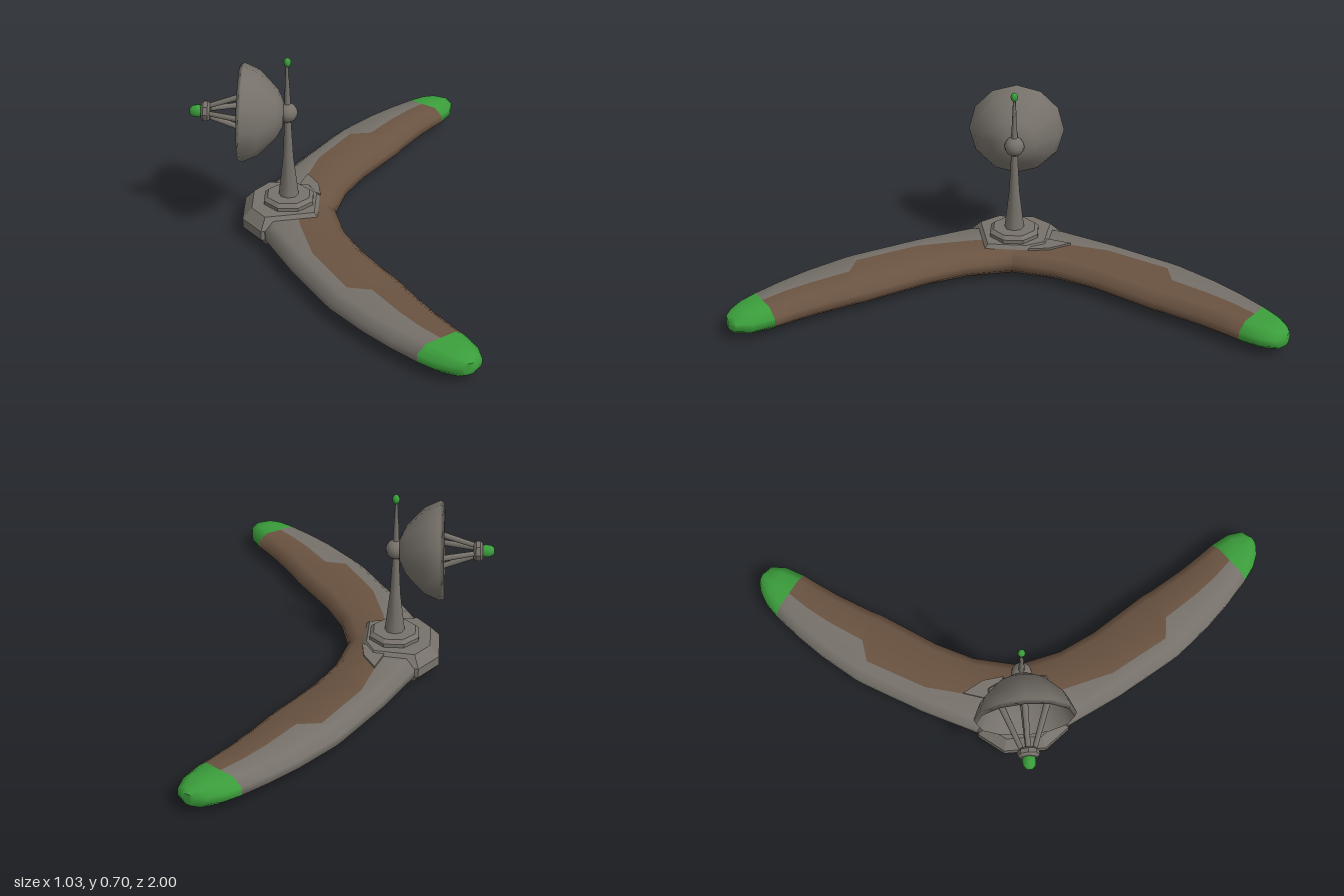
import * as THREE from 'three';
import { toCreasedNormals } from 'three/addons/utils/BufferGeometryUtils.js';

const material = (name, color) => {
  const m = new THREE.MeshStandardMaterial({ color });
  m.name = name;
  return m;
};

export function createModel() {
  const grey = material('warm grey metal', 0x76716a);
  const brown = material('brown hull', 0x6a5341);
  const green = material('green trim', 0x3b9e3b);
  const model = new THREE.Group();
  model.name = 'boomerangStation';

  const add = (parent, name, geometry, mat, x = 0, y = 0, z = 0) => {
    const mesh = new THREE.Mesh(geometry, mat);
    mesh.name = name;
    mesh.position.set(x, y, z);
    parent.add(mesh);
    return mesh;
  };

  // Arm stations: outer x, z; inner x, z; grey share of the width; thickness
  const stations = [
    [-0.265, 0, 0.02, 0, 0.45, 1],
    [-0.235, 0.18, 0.06, 0.17, 0.45, 1],
    [-0.13, 0.39, 0.13, 0.31, 0.3, 1],
    [0.0, 0.61, 0.27, 0.52, 0.27, 1],
    [0.02, 0.64, 0.29, 0.56, 0.52, 1],
    [0.13, 0.77, 0.37, 0.69, 0.5, 1],
    [0.22, 0.86, 0.42, 0.76, 0.48, 1],
    [0.305, 0.935, 0.465, 0.82, 0.48, 1],
    [0.36, 0.975, 0.505, 0.89, 0.48, 0.96],
    [0.41, 0.995, 0.515, 0.95, 0.48, 0.8],
    [0.45, 1.0, 0.495, 0.98, 0.48, 0.5],
  ];
  const capStart = 7;

  // Bevelled cross-section running bottom, outer edge, top, inner edge
  const section = ([ox, oz, ix, iz, share, thick], side) => {
    const b = Math.min(0.25, 0.035 / Math.hypot(ix - ox, iz - oz));
    return [
      [share * 0.6, -1], [b, -1], [0, -0.35], [0, 0.35], [b, 1],
      [share, 1], [1 - b, 1], [1, 0.35], [1, -0.35], [1 - b, -1],
    ].map(([u, v]) => [ox + (ix - ox) * u, 0.0625 + 0.0425 * thick * v, side * (oz + (iz - oz) * u)]);
  };

  // Skin between stations, covering part of the cross-section
  const skin = (side, from, to, first, last, closed) => {
    const positions = [];
    const tri = (a, b, c) => positions.push(...a, ...(side > 0 ? b : c), ...(side > 0 ? c : b));
    const rings = stations.slice(from, to + 1).map((s) => section(s, side));
    for (let i = 0; i < rings.length - 1; i++) {
      for (let j = first; j < last; j++) {
        const k = (j + 1) % 10;
        const [a, b, c, d] = [rings[i][j], rings[i][k], rings[i + 1][k], rings[i + 1][j]];
        tri(a, d, c);
        tri(a, c, b);
      }
    }
    if (closed) {
      const end = rings[rings.length - 1];
      for (let j = 1; j < 9; j++) tri(end[0], end[j + 1], end[j]);
    }
    const g = new THREE.BufferGeometry();
    g.setAttribute('position', new THREE.Float32BufferAttribute(positions, 3));
    return toCreasedNormals(g, 1.0);
  };

  for (const side of [1, -1]) {
    const arm = new THREE.Group();
    arm.name = side > 0 ? 'frontArm' : 'backArm';
    add(arm, 'outerPlating', skin(side, 0, capStart, 0, 5, false), grey);
    add(arm, 'innerHull', skin(side, 0, capStart, 5, 10, false), brown);
    add(arm, 'tipCap', skin(side, capStart, stations.length - 1, 0, 10, true), green);
    model.add(arm);
  }

  // Flat plate from an outline in x and z
  const plate = (outline, y0, y1, bevel) => {
    const shape = new THREE.Shape(outline.map(([x, z]) => new THREE.Vector2(x, -z)));
    const lip = bevel ? 0.04 : 0;
    const g = new THREE.ExtrudeGeometry(shape, {
      depth: y1 - y0 - 2 * lip, bevelEnabled: bevel > 0, bevelSegments: 1,
      bevelSize: bevel, bevelOffset: -bevel, bevelThickness: lip,
    });
    return g.rotateX(-Math.PI / 2).translate(0, y0 + lip, 0);
  };

  // Clasp around the elbow
  add(model, 'elbowClasp', plate([
    [-0.325, 0.08], [-0.25, 0.175], [-0.02, 0.125], [-0.015, -0.06],
    [-0.06, -0.15], [-0.25, -0.175], [-0.325, -0.08],
  ], 0.003, 0.119, 0.035), grey);
  add(model, 'claspSpur', plate([
    [-0.13, -0.1], [-0.035, -0.06], [-0.045, -0.14], [-0.09, -0.22],
  ], 0.1, 0.113, 0), grey);

  // Octagonal pedestal and mast
  const mastX = -0.154;
  const turn = (profile, sides) =>
    new THREE.LatheGeometry(profile.map(([r, y]) => new THREE.Vector2(r, y)), sides);
  add(model, 'pedestal', toCreasedNormals(turn(
    [[0.1, 0.11], [0.1, 0.133], [0.085, 0.146], [0, 0.146]], 8).rotateY(Math.PI / 8), 0.4), grey, mastX);
  add(model, 'mast', turn(
    [[0.038, 0.145], [0.02, 0.3], [0.013, 0.44], [0.012, 0.52], [0.005, 0.68]], 8), grey, mastX);
  add(model, 'mastJoint', new THREE.SphereGeometry(0.038, 12, 8), grey, mastX, 0.487);
  add(model, 'mastBeacon', new THREE.SphereGeometry(0.014, 8, 6).scale(1, 1.3, 1), green, mastX + 0.002, 0.689);

  // Dish assembly, built along +y and then turned to face -x
  const dish = new THREE.Group();
  dish.name = 'dishAssembly';
  dish.position.set(-0.165, 0.483, 0);
  dish.rotation.z = Math.PI / 2 - 0.025;
  model.add(dish);
  add(dish, 'dishBowl', turn([
    [0, 0], [0.045, 0.004], [0.09, 0.026], [0.16, 0.095], [0.185, 0.153],
    [0.176, 0.168], [0.148, 0.11], [0.085, 0.05], [0, 0.028],
  ], 12), grey);

  // Four struts carrying the receiver
  for (let i = 0; i < 4; i++) {
    const a = (i * Math.PI) / 2;
    const at = (r, y) => new THREE.Vector3(r * Math.cos(a), y, r * Math.sin(a));
    const low = at(0.1, 0.06);
    const high = at(0.02, 0.285);
    const strut = add(dish, 'receiverStrut',
      new THREE.CylinderGeometry(0.009, 0.013, low.distanceTo(high), 6), grey);
    strut.position.copy(low).add(high).multiplyScalar(0.5);
    strut.quaternion.setFromUnitVectors(new THREE.Vector3(0, 1, 0), high.clone().sub(low).normalize());
  }
  add(dish, 'receiverCollar', toCreasedNormals(turn([
    [0, 0.274], [0.03, 0.274], [0.04, 0.283], [0.04, 0.299], [0.03, 0.308], [0, 0.308],
  ], 8), 0.5), grey);
  add(dish, 'receiverBulb', turn([
    [0.022, 0.3], [0.025, 0.32], [0.022, 0.338], [0.012, 0.35], [0, 0.351],
  ], 8), green);

  return model;
}
